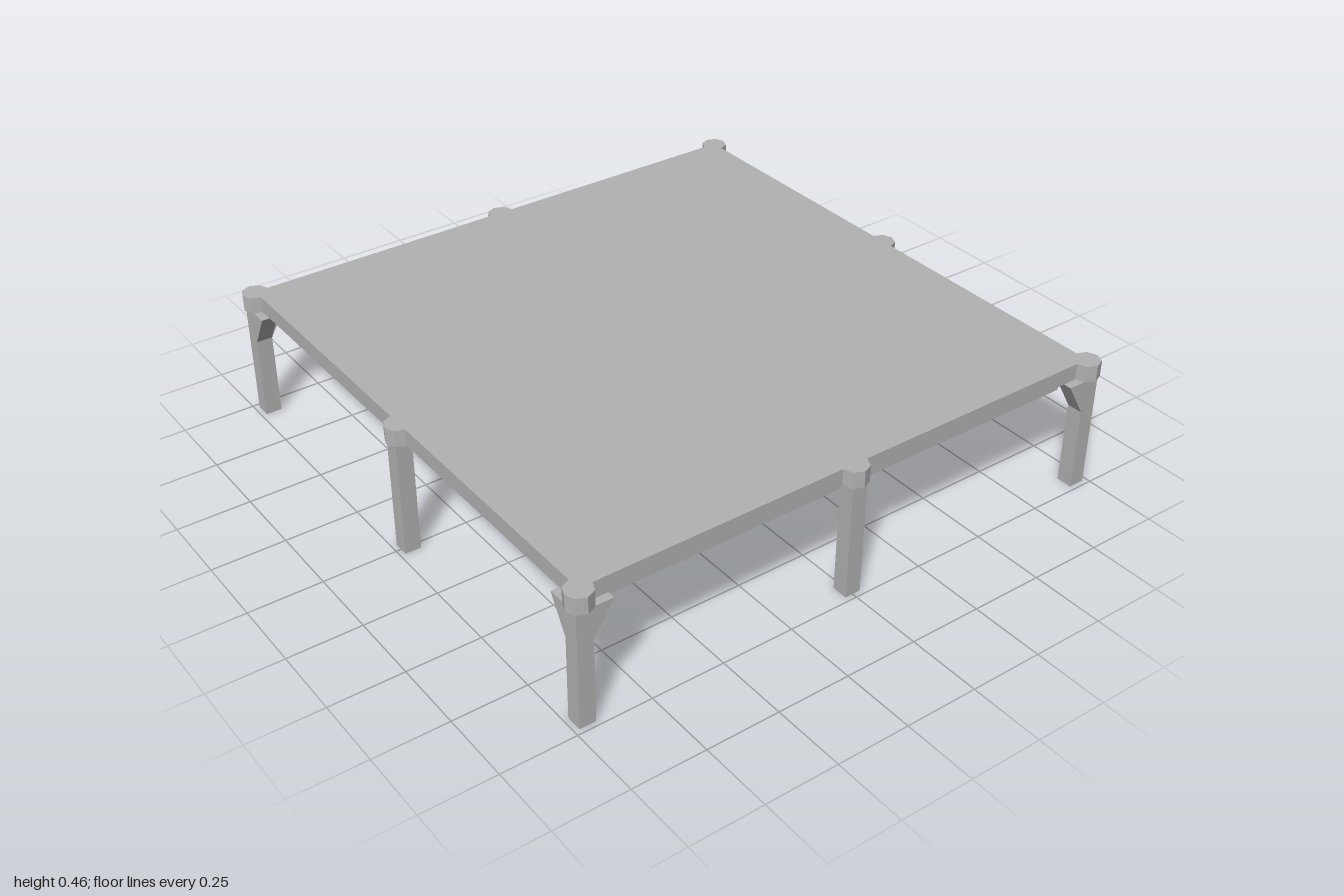
import * as THREE from 'three';

const EDGE = 0.955;      // half width of the top, and the leg centre line
const KNOB = 0.045;      // radius of the eight-sided bumps on the rim
const LEG = 0.055;       // leg thickness
const TOP = 0.46, UNDER = 0.403, APRON = 0.34;

// Square outline with half-octagon bumps mid-side and three-quarter ones at the corners
function topOutline() {
  const points = [];
  const bump = (cx, cy, fromStep, toStep) => {
    for (let s = fromStep; s <= toStep; s++) {
      const a = s * Math.PI / 4;
      points.push(new THREE.Vector2(cx + KNOB * Math.cos(a), cy + KNOB * Math.sin(a)));
    }
  };
  const dirs = [[1, 0], [0, 1], [-1, 0], [0, -1]];
  dirs.forEach(([dx, dy], k) => {
    bump(dx * EDGE, dy * EDGE, 2 * k - 2, 2 * k + 2);
    const [nx, ny] = dirs[(k + 1) % 4];
    bump((dx + nx) * EDGE, (dy + ny) * EDGE, 2 * k - 2, 2 * k + 4);
  });
  return new THREE.Shape(points);
}

export function createModel() {
  const model = new THREE.Group();
  model.name = 'platform';
  const grey = new THREE.MeshStandardMaterial({ color: 0xb2b2b2 });
  grey.name = 'plain grey';

  const add = (parent, name, geometry, x = 0, y = 0, z = 0) => {
    const mesh = new THREE.Mesh(geometry, grey);
    mesh.name = name;
    mesh.position.set(x, y, z);
    parent.add(mesh);
    return mesh;
  };

  // Top slab
  const slab = new THREE.ExtrudeGeometry(topOutline(), { depth: TOP - UNDER, bevelEnabled: false });
  slab.rotateX(-Math.PI / 2);
  add(model, 'topSlab', slab, 0, UNDER, 0);

  // Solid recessed block under the slab
  add(model, 'apron', new THREE.BoxGeometry(1.8, UNDER - APRON, 1.8), 0, (UNDER + APRON) / 2, 0);

  const legGeometry = new THREE.BoxGeometry(LEG, UNDER, LEG);

  // Sloping brace, running towards -x from the inner face of a leg
  const braceShape = new THREE.Shape([
    new THREE.Vector2(-LEG / 2, 0.288),
    new THREE.Vector2(-LEG / 2, UNDER),
    new THREE.Vector2(-0.094, UNDER),
  ]);
  const braceX = new THREE.ExtrudeGeometry(braceShape, { depth: LEG, bevelEnabled: false });
  braceX.translate(0, 0, -LEG / 2);
  const braceZ = braceX.clone().rotateY(-Math.PI / 2);

  // One corner leg with two braces and one middle leg per side
  for (let k = 0; k < 4; k++) {
    const side = new THREE.Group();
    side.name = 'legs' + (k + 1);
    side.rotation.y = k * Math.PI / 2;
    add(side, 'cornerLeg', legGeometry, EDGE, UNDER / 2, EDGE);
    add(side, 'braceAcross', braceX, EDGE, 0, EDGE);
    add(side, 'braceAlong', braceZ, EDGE, 0, EDGE);
    add(side, 'middleLeg', legGeometry, 0, UNDER / 2, EDGE);
    model.add(side);
  }
  return model;
}
